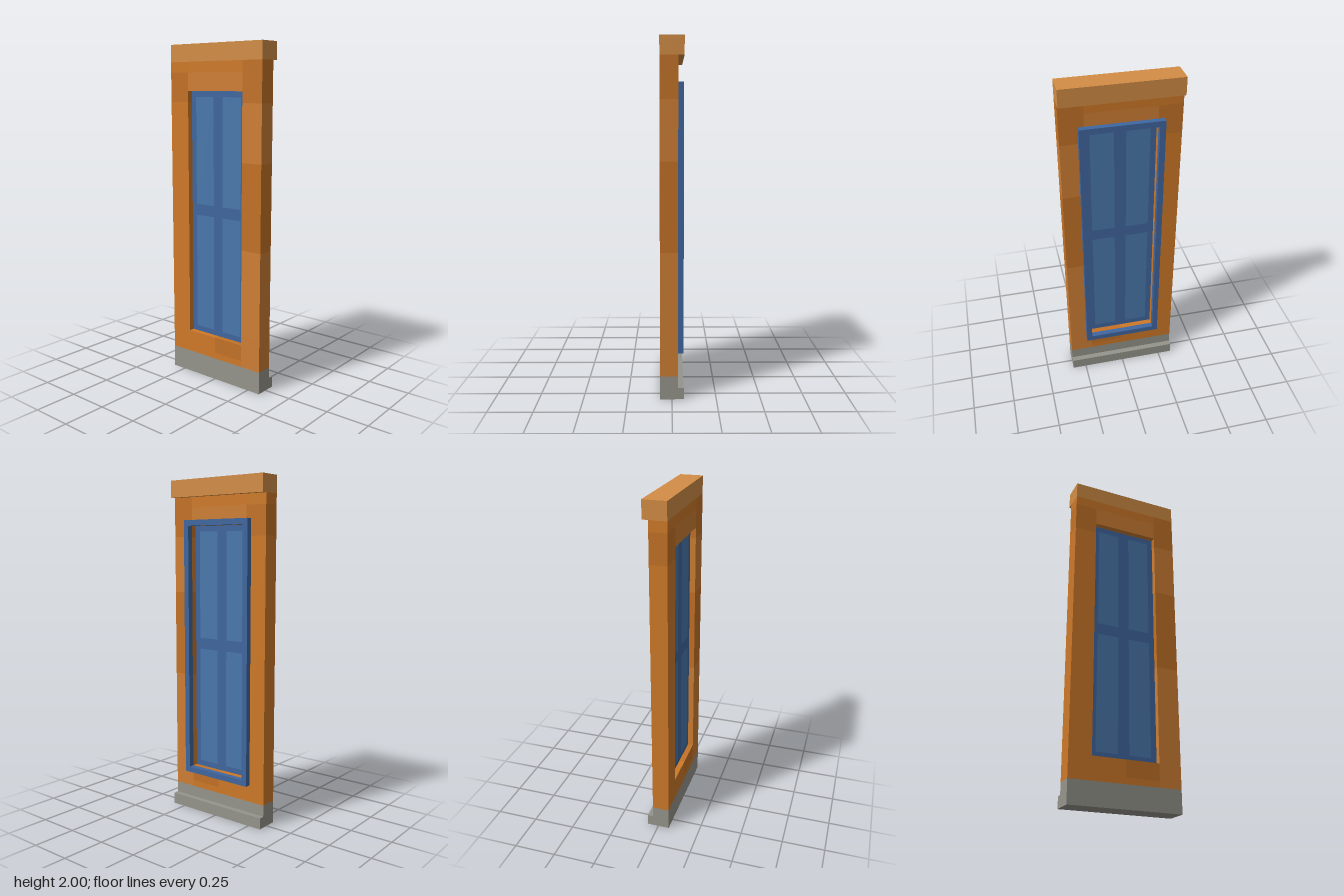
import * as THREE from 'three';

const ORANGE = 0xcf7a28, DARK = 0xc47226, LIGHT = 0xcf7f34;
const TRIM = 0xd38d45, STONE = 0x96958c, BLUE = 0x4067a0, GLASS = 0x4a78ad;
const W = 0.3333, FRONT = 0.0667, BACK = -0.0333, TRIM_BACK = -0.0667;
const OPEN_X = 0.2, OPEN_Y0 = 0.2667, OPEN_Y1 = 1.7333;

const materials = new Map();
function paint(color) {
  if (!materials.has(color)) materials.set(color, new THREE.MeshStandardMaterial({ color }));
  return materials.get(color);
}

// Box given by its limits on each axis
function block(parent, name, color, [x0, x1], [y0, y1], [z0, z1]) {
  const mesh = new THREE.Mesh(new THREE.BoxGeometry(x1 - x0, y1 - y0, z1 - z0), paint(color));
  mesh.position.set((x0 + x1) / 2, (y0 + y1) / 2, (z0 + z1) / 2);
  mesh.name = name;
  parent.add(mesh);
}

function section(root, name) {
  const g = new THREE.Group();
  g.name = name;
  root.add(g);
  return g;
}

// Rectangular ring extruded from z0 to z1
function ring(name, color, outer, inner, z0, z1) {
  const rect = (path, [x, y0, y1]) =>
    path.moveTo(-x, y0).lineTo(x, y0).lineTo(x, y1).lineTo(-x, y1).closePath();
  const shape = new THREE.Shape();
  rect(shape, outer);
  const hole = new THREE.Path();
  rect(hole, inner);
  shape.holes.push(hole);
  const geo = new THREE.ExtrudeGeometry(shape, { depth: z1 - z0, bevelEnabled: false });
  geo.translate(0, 0, z0);
  const mesh = new THREE.Mesh(geo, paint(color));
  mesh.name = name;
  return mesh;
}

export function createModel() {
  const model = new THREE.Group();
  model.name = 'windowWallPanel';
  const wallZ = [BACK, FRONT];

  // Wall around the opening, in courses of slightly varied brick
  const wall = section(model, 'wall');
  const leftCourses = [[0.1333, 0.33, LIGHT], [0.33, 0.84, LIGHT], [0.84, 1.0, DARK],
    [1.0, 1.34, DARK], [1.34, 1.67, LIGHT], [1.67, 1.9, DARK]];
  const rightCourses = [[0.1333, 1.67, ORANGE], [1.67, 1.84, DARK], [1.84, 1.9, ORANGE]];
  for (const [y0, y1, c] of leftCourses) block(wall, 'leftJambCourse', c, [OPEN_X, W], [y0, y1], wallZ);
  for (const [y0, y1, c] of rightCourses) block(wall, 'rightJambCourse', c, [-W, -OPEN_X], [y0, y1], wallZ);
  const span = [-OPEN_X, OPEN_X];
  block(wall, 'head', LIGHT, span, [OPEN_Y1, 1.84], wallZ);
  block(wall, 'headUpperCourse', ORANGE, span, [1.84, 1.9], wallZ);
  block(wall, 'sillLowerCourse', ORANGE, span, [0.1333, 0.17], wallZ);
  block(wall, 'sillRight', ORANGE, [-OPEN_X, 0], [0.17, OPEN_Y0], wallZ);
  block(wall, 'sillLeft', DARK, [0, OPEN_X], [0.17, OPEN_Y0], wallZ);

  // Cornice and stepped plinth project at the back
  block(model, 'cornice', TRIM, [-W, W], [1.9, 2], [TRIM_BACK, FRONT]);
  block(model, 'plinthStep', STONE, [-W, W], [0, 0.0667], [TRIM_BACK, FRONT]);
  block(model, 'plinth', STONE, [-W, W], [0.0667, 0.1333], wallZ);

  // Surround standing off the back of the wall
  model.add(ring('windowSurround', BLUE, [0.2333, 0.2333, 1.7667],
    [OPEN_X, OPEN_Y0, OPEN_Y1], TRIM_BACK, BACK));

  // Flush sash: outer frame, glazing bars and four panes
  const sash = section(model, 'sash');
  const sashZ = [0, 0.0333], gx = 0.1667, bar = 0.0333, gy0 = 0.3, gy1 = 1.7;
  sash.add(ring('sashFrame', BLUE, [OPEN_X, OPEN_Y0, OPEN_Y1], [gx, gy0, gy1], ...sashZ));
  block(sash, 'verticalBar', BLUE, [-bar, bar], [gy0, gy1], sashZ);
  for (const xs of [[-gx, -bar], [bar, gx]]) {
    block(sash, 'horizontalBar', BLUE, xs, [1, 1.0667], sashZ);
    block(sash, 'lowerPane', GLASS, xs, [gy0, 1], sashZ);
    block(sash, 'upperPane', GLASS, xs, [1.0667, gy1], sashZ);
  }
  return model;
}
